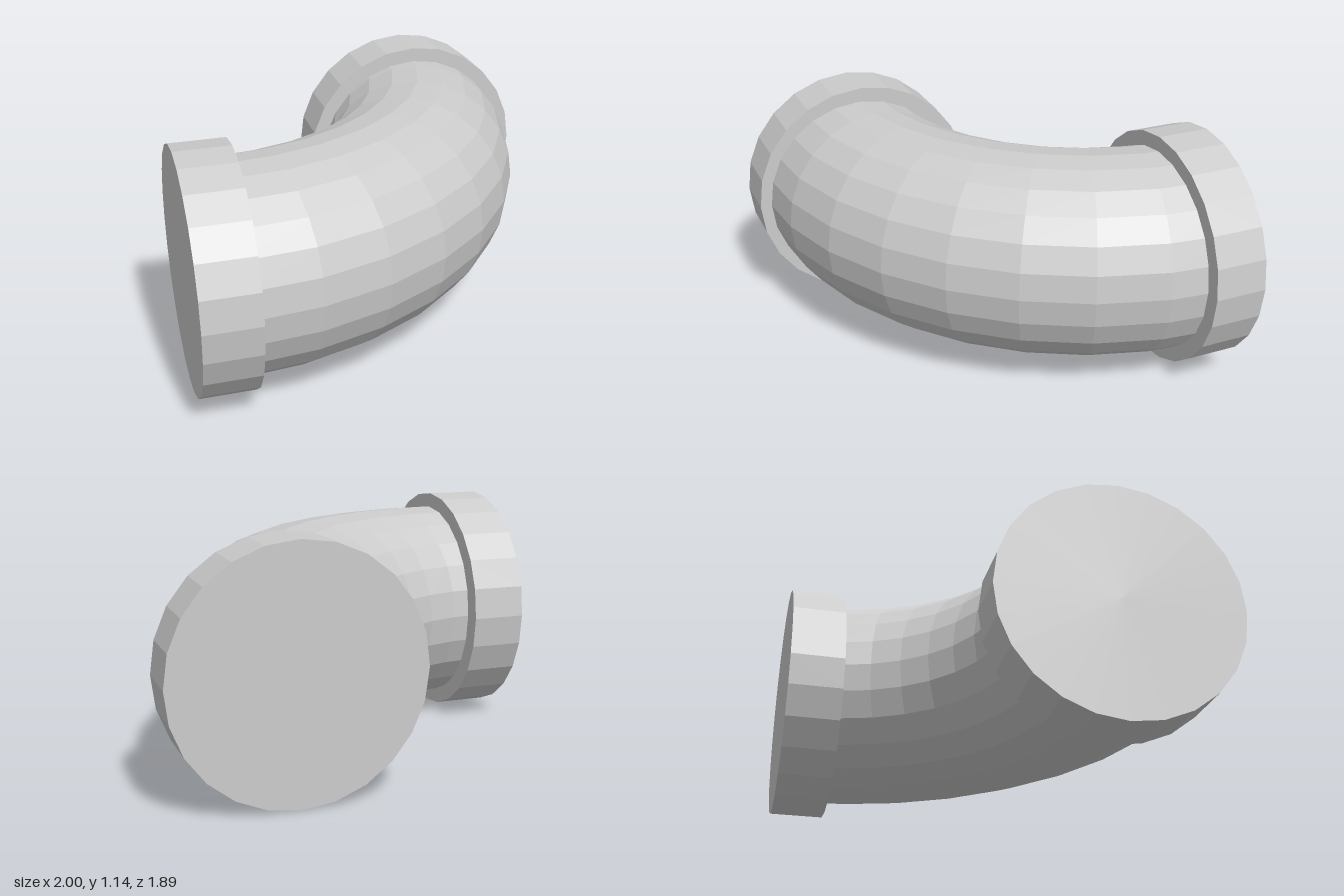
import * as THREE from 'three';

const SIDES = 24;
const COLLAR_RADIUS = 0.57;

export function createModel() {
  const group = new THREE.Group();
  group.name = 'pipeElbow';
  const material = new THREE.MeshStandardMaterial({ color: 0xcccccc, flatShading: true });

  // Quarter-turn bend lying flat, its ends seated inside the collars
  const bendGeometry = new THREE.TorusGeometry(1.25, 0.498, SIDES, 8, Math.PI / 2);
  bendGeometry.rotateX(Math.PI / 2);
  const bend = new THREE.Mesh(bendGeometry, material);
  bend.name = 'bend';
  bend.position.set(-0.805, COLLAR_RADIUS, -0.855);
  group.add(bend);

  // Closed collar at each end of the bend
  function addCollar(name, length, axis, x, z) {
    const geometry = new THREE.CylinderGeometry(COLLAR_RADIUS, COLLAR_RADIUS, length, SIDES);
    if (axis === 'x') geometry.rotateZ(Math.PI / 2);
    else geometry.rotateX(Math.PI / 2);
    const collar = new THREE.Mesh(geometry, material);
    collar.name = name;
    collar.position.set(x, COLLAR_RADIUS, z);
    group.add(collar);
  }
  addCollar('rightCollar', 0.26, 'x', -0.87, 0.375);
  addCollar('backCollar', 0.256, 'z', 0.43, -0.819);

  return group;
}
